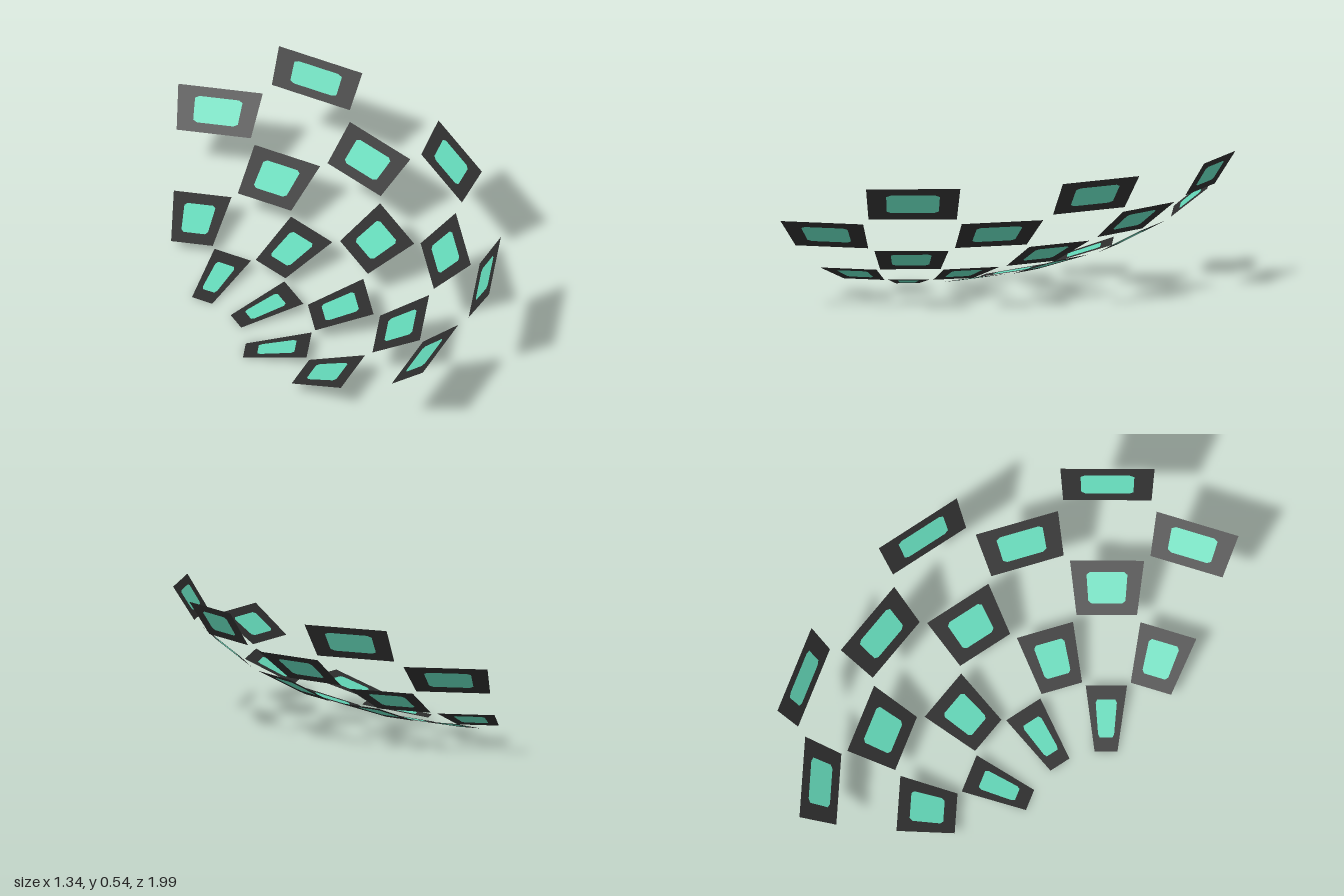
import * as THREE from 'three';

const frameMat = new THREE.MeshStandardMaterial({ color: 0x2d2d2d, side: THREE.DoubleSide });
frameMat.name = 'charcoal';
const insetMat = new THREE.MeshStandardMaterial({ color: 0x62d5b6, side: THREE.DoubleSide });
insetMat.name = 'mint';

// Axis of the bowl and angular spacing of the panels (degrees)
const CX = -0.714, CZ = 0.295;
const STEP = 17.3, OFFSET = 0.3, WIDTH = 16.1;

// Rings of the bowl: inner radius, inner height, outer radius, outer height
const RINGS = [
  [0.336, 0.0, 0.607, 0.054],
  [0.622, 0.055, 0.862, 0.132],
  [0.888, 0.138, 1.09, 0.243],
  [1.11, 0.257, 1.262, 0.378],
  [1.298, 0.404, 1.385, 0.542],
];

// Lays a flat unit-square shape onto the trapezoid of one cell
function layOnCell(shape, ring, column) {
  const [r0, y0, r1, y1] = ring;
  const start = column * STEP + OFFSET;
  const corner = (r, y, degrees) => {
    const a = THREE.MathUtils.degToRad(degrees);
    return new THREE.Vector3(CX + r * Math.cos(a), y, CZ + r * Math.sin(a));
  };
  const innerA = corner(r0, y0, start), innerB = corner(r0, y0, start + WIDTH);
  const outerA = corner(r1, y1, start), outerB = corner(r1, y1, start + WIDTH);
  const geometry = new THREE.ShapeGeometry(shape);
  const pos = geometry.attributes.position;
  for (let i = 0; i < pos.count; i++) {
    const u = pos.getX(i), v = pos.getY(i);
    const p = innerA.clone().lerp(innerB, u).lerp(outerA.clone().lerp(outerB, u), v);
    pos.setXYZ(i, p.x, p.y, p.z);
  }
  geometry.computeVertexNormals();
  return geometry;
}

// Square with clipped corners, used for the inset and the frame opening
function clippedSquare(lo, hi, c) {
  return [
    [lo + c, lo], [hi - c, lo], [hi, lo + c], [hi, hi - c],
    [hi - c, hi], [lo + c, hi], [lo, hi - c], [lo, lo + c],
  ].map(([x, y]) => new THREE.Vector2(x, y));
}

export function createModel() {
  const model = new THREE.Group();
  model.name = 'panelBowl';

  const outline = clippedSquare(0.21, 0.79, 0.05);
  const insetShape = new THREE.Shape(outline);
  const frameShape = new THREE.Shape(
    [[0, 0], [1, 0], [1, 1], [0, 1]].map(([x, y]) => new THREE.Vector2(x, y)));
  frameShape.holes.push(new THREE.Path(outline.slice().reverse()));

  // Panels alternate in a checker pattern from ring to ring
  RINGS.forEach((ring, i) => {
    const columns = i % 2 ? [1, -1, -3, -5] : [0, -2, -4];
    for (const column of columns) {
      const panel = new THREE.Group();
      panel.name = 'panel';
      const frame = new THREE.Mesh(layOnCell(frameShape, ring, column), frameMat);
      frame.name = 'panelFrame';
      const inset = new THREE.Mesh(layOnCell(insetShape, ring, column), insetMat);
      inset.name = 'panelInset';
      panel.add(frame, inset);
      model.add(panel);
    }
  });
  return model;
}
